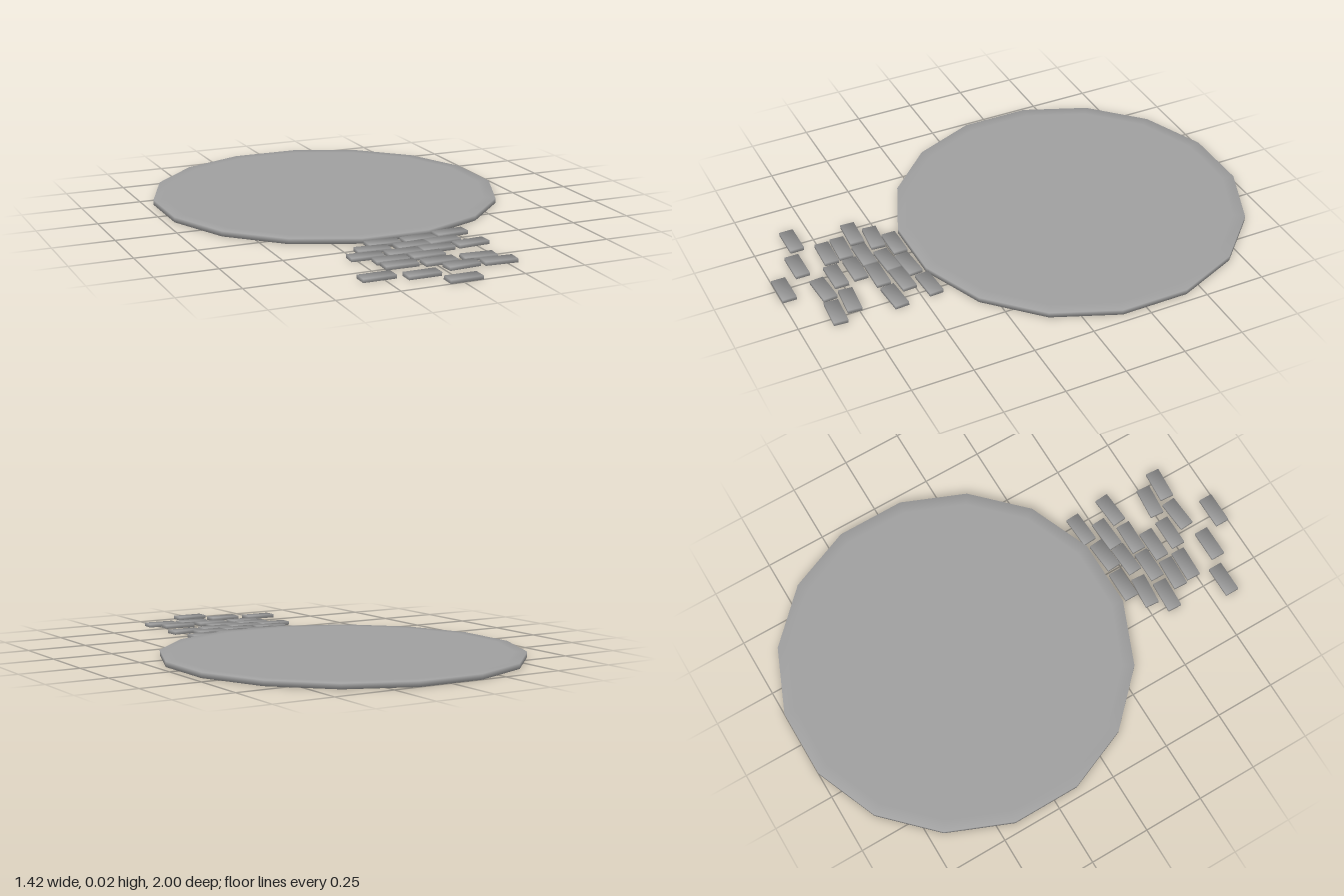
import * as THREE from 'three';

const material = new THREE.MeshStandardMaterial({ color: 0x9f9f9f });

// Box whose corner normals point diagonally outwards, so its shading is soft
function softBox(w, h, d) {
  const geometry = new THREE.BoxGeometry(w, h, d);
  const { position, normal } = geometry.attributes;
  const n = new THREE.Vector3();
  for (let i = 0; i < position.count; i++) {
    n.fromBufferAttribute(position, i);
    n.set(Math.sign(n.x), Math.sign(n.y), Math.sign(n.z)).normalize();
    normal.setXYZ(i, n.x, n.y, n.z);
  }
  return geometry;
}

// Sixteen-sided disc; the rim normals lean towards the side faces
function softDisc(radius, height, inset) {
  const profile = [
    [0, 0], [radius - inset, 0], [radius, 0],
    [radius, height], [radius - inset, height], [0, height],
  ].map(([r, y]) => new THREE.Vector2(r, y));
  const geometry = new THREE.LatheGeometry(profile, 16, Math.PI / 16);
  const { normal } = geometry.attributes;
  const n = new THREE.Vector3();
  for (let i = 0; i < normal.count; i++) {
    n.fromBufferAttribute(normal, i);
    if (Math.abs(n.y) > 0.9) continue;
    n.y *= 0.5;
    n.normalize();
    normal.setXYZ(i, n.x, n.y, n.z);
  }
  return geometry;
}

export function createModel() {
  const model = new THREE.Group();
  model.name = 'roundPatioWithPath';

  // Round slab
  const radius = 0.712 / Math.cos(Math.PI / 16);
  const slab = new THREE.Mesh(softDisc(radius, 0.022, 0.05), material);
  slab.name = 'patioSlab';
  slab.position.z = -0.288;
  model.add(slab);

  // Loose paving bricks: x, z, turn in degrees
  const bricks = [
    [-0.08, 0.467, 0], [0.07, 0.47, 4], [0.22, 0.446, 3],
    [-0.15, 0.529, -5], [0.01, 0.537, 3], [0.147, 0.528, 3],
    [-0.21, 0.598, -3], [-0.06, 0.606, 0], [0.083, 0.606, -1], [0.233, 0.598, 4],
    [-0.14, 0.672, -3], [0.008, 0.672, 0],
    [-0.134, 0.738, -2], [0.018, 0.757, 0], [0.18, 0.762, -5],
    [-0.272, 0.836, 0], [-0.108, 0.873, 0], [0.074, 0.831, 4], [0.225, 0.838, -4],
    [0.01, 0.971, 0],
  ];
  const brickGeometry = softBox(0.132, 0.015, 0.058);
  const path = new THREE.Group();
  path.name = 'brickPath';
  path.position.x = 0.003;
  bricks.forEach(([x, z, turn], i) => {
    const brick = new THREE.Mesh(brickGeometry, material);
    brick.name = `brick${i + 1}`;
    brick.position.set(x, 0.0075, z);
    brick.rotation.y = THREE.MathUtils.degToRad(turn);
    path.add(brick);
  });
  model.add(path);

  return model;
}
